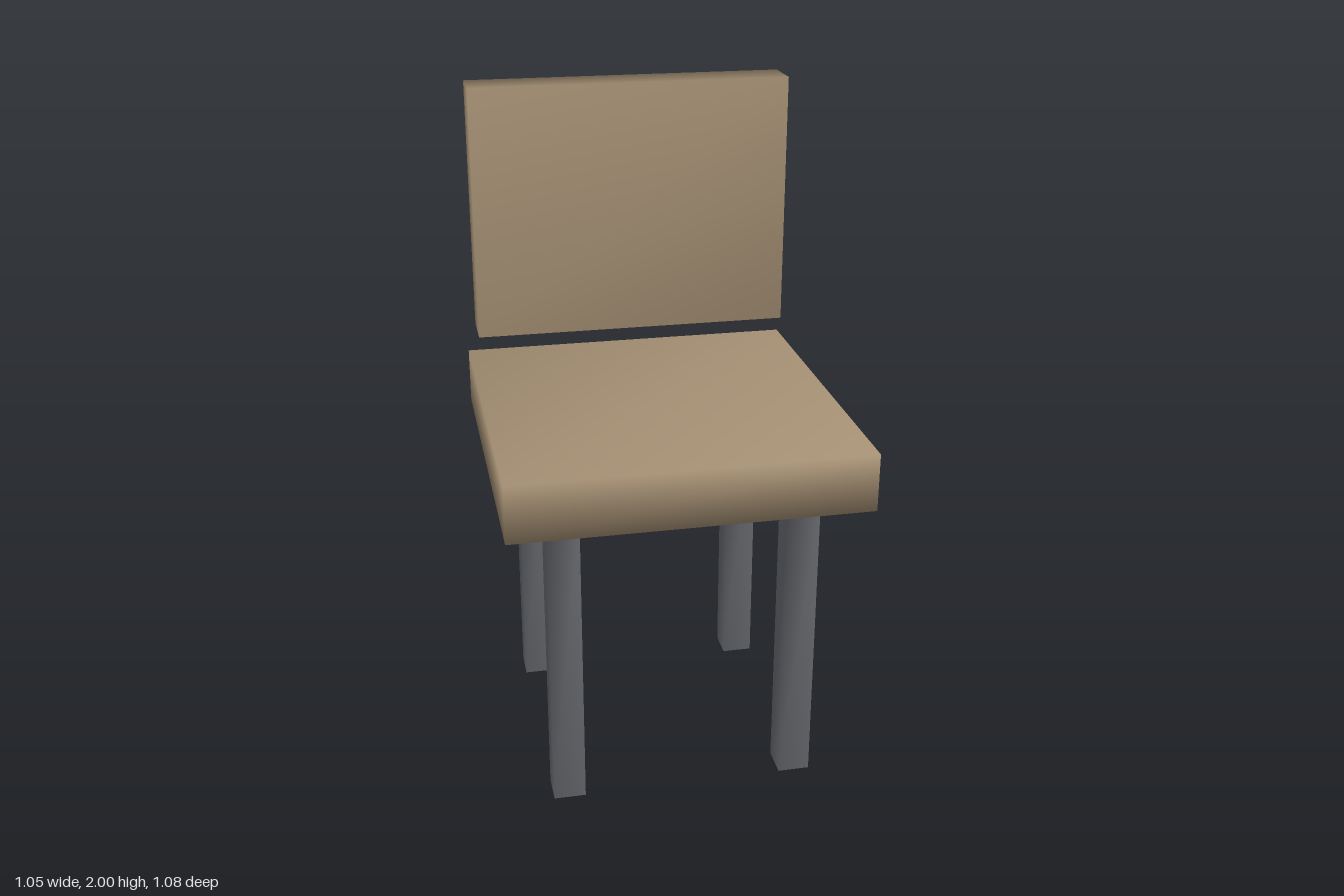
import * as THREE from 'three';
import { mergeVertices } from 'three/addons/utils/BufferGeometryUtils.js';

const fabric = new THREE.MeshStandardMaterial({ color: 0xa48f73 });
const metal = new THREE.MeshStandardMaterial({ color: 0x65676c });

// Box with shared corners, so the shading runs softly around its edges
function softBox(name, size, position, material) {
  const box = new THREE.BoxGeometry(...size);
  box.deleteAttribute('normal');
  box.deleteAttribute('uv');
  const geometry = mergeVertices(box);
  geometry.computeVertexNormals();
  const mesh = new THREE.Mesh(geometry, material);
  mesh.name = name;
  mesh.position.set(...position);
  return mesh;
}

export function createModel() {
  const chair = new THREE.Group();
  chair.name = 'chair';

  // Seat cushion, and the backrest floating just above its rear edge
  chair.add(softBox('seat', [1.054, 0.175, 1.074], [0, 1.033, 0.003], fabric));
  chair.add(softBox('backrest', [1, 0.79, 0.14], [0, 1.605, -0.47], fabric));

  // Four square legs
  const legHeight = 0.945;
  for (const [end, z] of [['front', 0.365], ['back', -0.356]]) {
    for (const [side, x] of [['Left', 0.353], ['Right', -0.353]]) {
      chair.add(softBox(`${end}${side}Leg`, [0.096, legHeight, 0.096], [x, legHeight / 2, z], metal));
    }
  }
  return chair;
}
